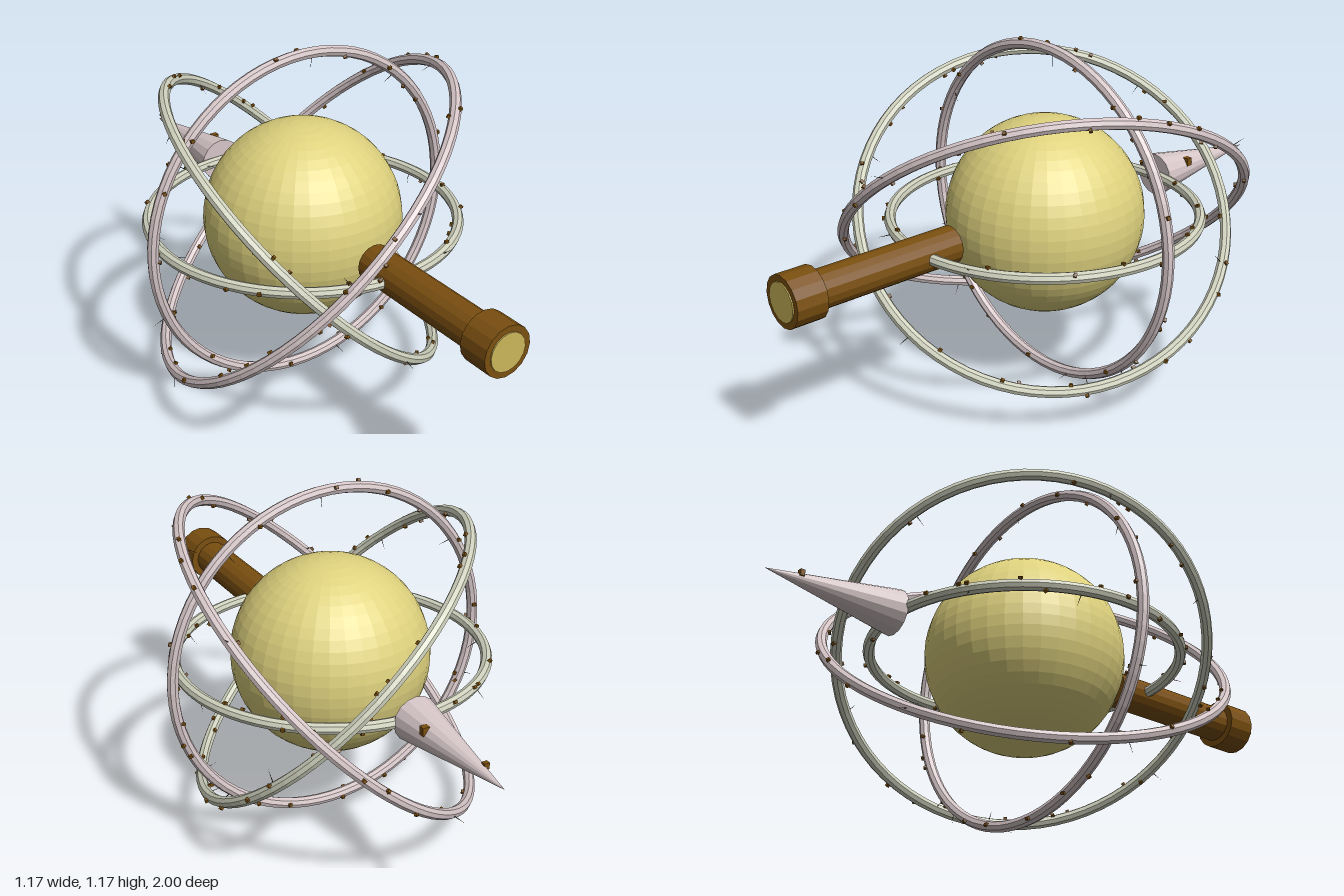
import * as THREE from 'three';

const CENTER = new THREE.Vector3(0, 0.598, -0.02);

function material(name, color, flatShading = true) {
  const m = new THREE.MeshStandardMaterial({ color, flatShading });
  m.name = name;
  return m;
}

function seeded(seed) {
  return () => {
    seed = (seed * 16807) % 2147483647;
    return seed / 2147483647;
  };
}

export function createModel() {
  const model = new THREE.Group();
  model.name = 'ringedGlobe';

  const yellow = material('paleYellow', 0xdfd27e);
  const gold = material('gold', 0xcbb65a);
  const brown = material('brown', 0x7a4f10);
  const pink = material('palePink', 0xd6c6c8);
  const green = material('paleSage', 0xcfd1bd);
  const dark = material('darkBrown', 0x55483a);

  const add = (parent, name, geometry, mat, x = 0, y = 0, z = 0) => {
    const mesh = new THREE.Mesh(geometry, mat);
    mesh.name = name;
    mesh.position.set(x, y, z);
    parent.add(mesh);
    return mesh;
  };

  // Central globe
  add(model, 'globe', new THREE.SphereGeometry(0.332, 36, 28), yellow, ...CENTER);

  // Four tilted rings, each studded with small nubs and a few fine thorns
  const nubGeometry = new THREE.BoxGeometry(0.012, 0.014, 0.01);
  const thornGeometry = new THREE.ConeGeometry(0.0018, 0.045, 4);
  const Z = new THREE.Vector3(0, 0, 1);
  const Y = new THREE.Vector3(0, 1, 0);
  const tube = 0.019;

  function addRing(name, radius, normal, mat, seed) {
    const random = seeded(seed);
    const ring = new THREE.Group();
    ring.name = name;
    ring.position.copy(CENTER);
    ring.quaternion.setFromUnitVectors(Z, new THREE.Vector3(...normal).normalize());
    add(ring, name + 'Band', new THREE.TorusGeometry(radius, tube, 8, 72), mat);

    const scatter = (partName, geometry, partMaterial, count, lift) => {
      for (let i = 0; i < count; i++) {
        const a = ((i + random()) / count) * Math.PI * 2;
        const b = random() * Math.PI * 2;
        const out = new THREE.Vector3(
          Math.cos(a) * Math.cos(b), Math.sin(a) * Math.cos(b), Math.sin(b));
        const part = add(ring, partName, geometry, partMaterial,
          Math.cos(a) * radius, Math.sin(a) * radius, 0);
        part.position.addScaledVector(out, tube + lift);
        part.quaternion.setFromUnitVectors(Y, out);
      }
    };
    scatter('nub', nubGeometry, brown, 30, 0);
    scatter('thorn', thornGeometry, dark, 7, 0.018);
    model.add(ring);
  }

  addRing('uprightRing', 0.568, [0, 0, 1], pink, 11);
  addRing('levelRing', 0.515, [0, 1, 0], green, 271);
  addRing('outerTiltedRing', 0.67, [-0.615, 0.713, -0.34], pink, 3307);
  addRing('innerTiltedRing', 0.62, [0.615, 0.713, 0.34], green, 48611);

  // Rod along z, from back to front
  const rod = (name, radius, back, front, mat) => {
    const g = new THREE.CylinderGeometry(radius, radius, front - back, 16);
    g.rotateX(Math.PI / 2);
    add(model, name, g, mat, 0, CENTER.y, (back + front) / 2);
  };
  rod('handle', 0.062, 0.375, 0.9, brown);
  rod('handleCollar', 0.085, 0.89, 0.996, brown);
  rod('handleCap', 0.064, 0.992, 1, gold);

  // Rear spike
  const spike = new THREE.ConeGeometry(0.076, 0.46, 16);
  spike.rotateX(-Math.PI / 2);
  add(model, 'spike', spike, pink, 0, CENTER.y, -0.77);
  for (const [x, y, z, s] of [[0.045, 0.63, -0.66, 2], [-0.015, 0.612, -0.885, 1.5]]) {
    add(model, 'spikeNub', nubGeometry, brown, x, y, z).scale.setScalar(s);
  }

  return model;
}
